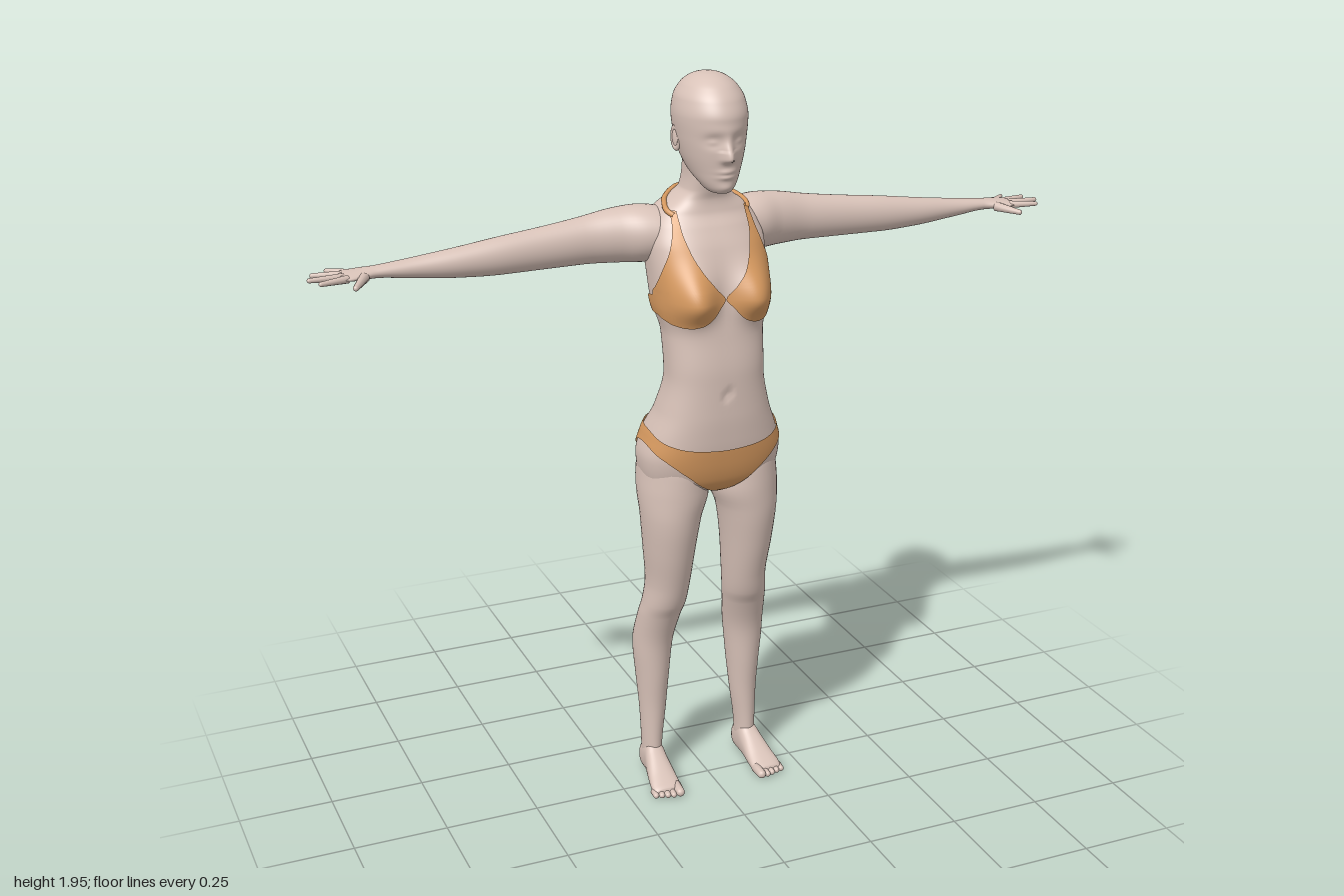
import * as THREE from 'three';
import { mergeGeometries } from 'three/addons/utils/BufferGeometryUtils.js';

const gauss = (d, s) => Math.exp(-(d / s) * (d / s));
const spow = (v, p) => Math.sign(v) * Math.abs(v) ** p;

// Smooth monotone interpolation of table rows [t, a, b, ...]
function sample(rows, t) {
  let i = 0;
  while (i < rows.length - 2 && t > rows[i + 1][0]) i++;
  const h = rows[i + 1][0] - rows[i][0];
  const k = Math.min(1, Math.max(0, (t - rows[i][0]) / h));
  const slope = (j, c) => (rows[j + 1][c] - rows[j][c]) / (rows[j + 1][0] - rows[j][0]);
  const tangent = (j, c) => {
    if (j === 0) return slope(0, c);
    if (j === rows.length - 1) return slope(j - 1, c);
    const a = slope(j - 1, c), b = slope(j, c);
    return a * b > 0 ? (2 * a * b) / (a + b) : 0;
  };
  return rows[i].slice(1).map((v, n) => {
    const c = n + 1, w = rows[i + 1][c], k2 = k * k, k3 = k2 * k;
    return v * (2 * k3 - 3 * k2 + 1) + w * (3 * k2 - 2 * k3)
      + h * (tangent(i, c) * (k3 - 2 * k2 + k) + tangent(i + 1, c) * (k3 - k2));
  });
}

// Grid surface from point(u, v); faces are turned outwards by signed volume
function surface(point, us, vs, closed) {
  const pos = [], idx = [], n = us.length;
  for (const v of vs) for (const u of us) pos.push(...point(u, v).toArray());
  for (let j = 0; j < vs.length - 1; j++) {
    for (let i = 0; i < (closed ? n : n - 1); i++) {
      const a = j * n + i, b = j * n + ((i + 1) % n);
      idx.push(a, b, b + n, a, b + n, a + n);
    }
  }
  const at = (i) => new THREE.Vector3(pos[3 * i], pos[3 * i + 1] - 1.3, pos[3 * i + 2]);
  let volume = 0;
  for (let i = 0; i < idx.length; i += 3) volume += at(idx[i]).dot(at(idx[i + 1]).cross(at(idx[i + 2])));
  if (volume < 0) idx.reverse();
  const geo = new THREE.BufferGeometry();
  geo.setAttribute('position', new THREE.Float32BufferAttribute(pos, 3));
  geo.setIndex(idx);
  geo.computeVertexNormals();
  return geo;
}

const range = (n, a, b) => Array.from({ length: n + 1 }, (_, i) => a + ((b - a) * i) / n);
const ring = (n) => range(n, 0, 2 * Math.PI).slice(0, n);
const steps = (rows, n) => rows.flatMap((r, i) =>
  i ? range(n, rows[i - 1][0], r[0]).slice(1) : [r[0]]);

// Limb through rows [t, a0, a1, b0, b1], extents across the x, y or z axis
function limb(rows, axis, side, power = 1) {
  const point = (u, t) => {
    const [a0, a1, b0, b1] = sample(rows, t);
    const a = (a0 + a1) / 2 + ((a1 - a0) / 2) * spow(Math.sin(u), power);
    const b = (b0 + b1) / 2 + ((b1 - b0) / 2) * spow(Math.cos(u), power);
    const p = axis === 'x' ? [t, a, b] : axis === 'y' ? [a, t, b] : [a, b, t];
    return new THREE.Vector3(p[0] * side, p[1], p[2]);
  };
  return surface(point, ring(40), steps(rows, 5), true);
}

// Tapered round-ended digit between two points
function digit(from, to, r0, r1, side) {
  const a = new THREE.Vector3(...from), b = new THREE.Vector3(...to);
  a.x *= side; b.x *= side;
  const len = a.distanceTo(b) - r1;
  const arc = range(6, 0, Math.PI / 2).map((t) =>
    new THREE.Vector2(Math.max(0, r1 * Math.cos(t)), len + r1 * Math.sin(t)));
  const geo = new THREE.LatheGeometry([new THREE.Vector2(0, 0), new THREE.Vector2(r0, 0.001), ...arc], 12);
  const turn = new THREE.Quaternion().setFromUnitVectors(new THREE.Vector3(0, 1, 0), b.clone().sub(a).normalize());
  return geo.applyQuaternion(turn).translate(a.x, a.y, a.z);
}

// Torso and neck: [y, half width, back z, front z]
const TORSO = [[0.862, 0, -0.01, -0.01], [0.868, 0.05, -0.07, 0.05], [0.89, 0.15, -0.105, 0.088],
  [0.92, 0.184, -0.12, 0.107], [0.97, 0.19, -0.126, 0.12], [1.03, 0.175, -0.12, 0.128],
  [1.1, 0.148, -0.085, 0.132], [1.2, 0.128, -0.057, 0.132], [1.3, 0.13, -0.072, 0.122],
  [1.38, 0.148, -0.102, 0.11], [1.45, 0.152, -0.124, 0.1], [1.52, 0.155, -0.14, 0.08],
  [1.57, 0.143, -0.143, 0.055], [1.605, 0.12, -0.135, 0.035], [1.635, 0.08, -0.115, 0.03],
  [1.66, 0.057, -0.097, 0.036], [1.7, 0.051, -0.09, 0.045], [1.76, 0.05, -0.08, 0.045]];
const POWER = 0.8;

function torsoPoint(u, y) {
  const [w, back, front] = sample(TORSO, y), c = Math.cos(u);
  const x = w * spow(Math.sin(u), POWER), ax = Math.abs(x);
  let z = (front + back) / 2 + ((front - back) / 2) * spow(c, POWER);
  const f = Math.min(1, Math.max(0, c) * 2), b = Math.min(1, Math.max(0, -c) * 2);
  z += f * 0.052 * gauss(ax - 0.085, 0.055) * gauss(y - 1.4, y > 1.4 ? 0.075 : 0.05);
  z -= f * 0.01 * gauss(x, 0.008) * gauss(y - 1.155, 0.012);
  z -= b * 0.032 * gauss(ax - 0.08, 0.055) * gauss(y - 0.95, 0.055);
  z += b * 0.011 * gauss(x, 0.025) * gauss(y - 1.33, 0.2);
  return new THREE.Vector3(x, y, z);
}

// Point lying a little above the skin
function onSkin(u, y, lift) {
  const e = 0.004, p = torsoPoint(u, y);
  const du = torsoPoint(u + e, y).sub(torsoPoint(u - e, y));
  const dy = torsoPoint(u, y + e).sub(torsoPoint(u, y - e));
  return p.addScaledVector(du.cross(dy).normalize(), lift);
}
const angleAt = (x, y) =>
  Math.sign(x) * Math.asin(Math.min(0.999, Math.abs(x) / sample(TORSO, y)[0]) ** (1 / POWER));

// Head: [y, half width, back z, front z]
const HEAD = [[1.664, 0, 0.075, 0.075], [1.669, 0.026, 0.035, 0.108], [1.69, 0.046, 0, 0.117],
  [1.72, 0.063, -0.055, 0.121], [1.76, 0.077, -0.088, 0.126], [1.8, 0.085, -0.105, 0.129],
  [1.85, 0.09, -0.112, 0.13], [1.89, 0.084, -0.104, 0.115], [1.92, 0.067, -0.084, 0.09],
  [1.938, 0.046, -0.058, 0.063], [1.947, 0.025, -0.03, 0.036], [1.951, 0, 0.003, 0.003]];

function headPoint(u, y) {
  const [w, back, front] = sample(HEAD, y), c = Math.cos(u);
  const x = w * Math.sin(u), ax = Math.abs(x), f = Math.min(1, Math.max(0, c) * 2);
  let d = 0.026 * gauss(x, y < 1.775 ? 0.015 : 0.012) * gauss(y - 1.758, y > 1.758 ? 0.034 : 0.01);
  d -= 0.009 * gauss(ax - 0.034, 0.02) * gauss(y - 1.8, 0.015);
  d += 0.005 * gauss(ax - 0.035, 0.013) * gauss(y - 1.798, 0.008);
  d += 0.002 * gauss(x, 0.05) * gauss(y - 1.826, 0.012);
  d += 0.005 * gauss(x, 0.022) * (gauss(y - 1.724, 0.006) + gauss(y - 1.71, 0.006));
  d += 0.004 * gauss(x, 0.022) * gauss(y - 1.682, 0.011);
  return new THREE.Vector3(x, y, (front + back) / 2 + ((front - back) / 2) * c + d * f);
}

const ARM = [[0.06, 1.51, 1.57, -0.11, -0.05], [0.11, 1.478, 1.61, -0.143, 0.015],
  [0.16, 1.47, 1.616, -0.147, 0.006], [0.22, 1.472, 1.611, -0.141, -0.018], [0.31, 1.475, 1.595, -0.132, -0.035],
  [0.42, 1.475, 1.581, -0.121, -0.037], [0.52, 1.475, 1.57, -0.115, -0.036], [0.63, 1.48, 1.555, -0.11, -0.04],
  [0.75, 1.492, 1.54, -0.105, -0.05], [0.83, 1.502, 1.532, -0.1, -0.052], [0.87, 1.503, 1.528, -0.114, -0.04],
  [0.905, 1.506, 1.524, -0.118, -0.032], [0.92, 1.508, 1.521, -0.11, -0.036], [0.926, 1.514, 1.514, -0.075, -0.075]];
const LEG = [[0.03, 0.12, 0.16, -0.1, -0.04], [0.06, 0.114, 0.166, -0.108, -0.03], [0.1, 0.112, 0.167, -0.108, -0.03],
  [0.2, 0.1, 0.171, -0.114, -0.028], [0.3, 0.09, 0.179, -0.127, -0.02], [0.4, 0.08, 0.187, -0.131, -0.012],
  [0.5, 0.065, 0.181, -0.102, 0.018], [0.54, 0.058, 0.175, -0.091, 0.038], [0.6, 0.052, 0.169, -0.086, 0.055],
  [0.7, 0.043, 0.178, -0.086, 0.08], [0.8, 0.028, 0.187, -0.09, 0.097], [0.87, 0.005, 0.191, -0.116, 0.101],
  [0.92, 0.006, 0.188, -0.126, 0.1], [0.96, 0.018, 0.182, -0.115, 0.095], [1, 0.095, 0.095, -0.01, -0.01]];
const FOOT = [[-0.121, 0.14, 0.14, 0.03, 0.03], [-0.114, 0.122, 0.158, 0.006, 0.06], [-0.09, 0.114, 0.167, 0, 0.09],
  [-0.05, 0.112, 0.17, 0, 0.1], [-0.02, 0.111, 0.176, 0, 0.082], [0.03, 0.108, 0.186, 0, 0.05],
  [0.06, 0.108, 0.19, 0, 0.034], [0.078, 0.113, 0.185, 0.003, 0.024], [0.084, 0.145, 0.145, 0.012, 0.012]];
const FINGERS = [[[0.865, 1.513, -0.05], [0.905, 1.507, 0.019], 0.013, 0.007], [[0.905, 1.515, -0.045], [0.98, 1.515, -0.025], 0.01, 0.006],
  [[0.91, 1.515, -0.066], [1, 1.516, -0.064], 0.01, 0.006], [[0.91, 1.515, -0.087], [0.984, 1.515, -0.108], 0.01, 0.006],
  [[0.895, 1.514, -0.105], [0.94, 1.513, -0.147], 0.009, 0.005]];

// Bikini outlines: cup [y, inner x, outer x]; bands [angle from front, low y, high y]
const CUP = [[1.336, 0.085, 0.105], [1.342, 0.062, 0.128], [1.355, 0.042, 0.143], [1.38, 0.02, 0.15],
  [1.4, 0.002, 0.151], [1.43, 0.028, 0.149], [1.47, 0.058, 0.141], [1.52, 0.079, 0.123], [1.57, 0.089, 0.108], [1.61, 0.089, 0.102]];
const BAND = [[0.95, 1.35, 1.43], [1.57, 1.355, 1.402], [2.2, 1.355, 1.382], [Math.PI, 1.352, 1.374]];
const BRIEFS = [[0, 0.87, 1.005], [0.15, 0.885, 1.007], [0.45, 0.935, 1.012], [0.9, 0.983, 1.025], [1.57, 1.013, 1.048],
  [2.2, 0.973, 1.052], [2.7, 0.92, 1.048], [3, 0.885, 1.043], [Math.PI, 0.87, 1.04]];

export function createModel() {
  const model = new THREE.Group();
  const skin = new THREE.MeshStandardMaterial({ color: 0xd8c2b8 });
  skin.name = 'skin';
  const cloth = new THREE.MeshStandardMaterial({ color: 0xd6995f, side: THREE.DoubleSide });
  cloth.name = 'orange cloth';
  const add = (name, geo, material) => {
    const mesh = new THREE.Mesh(geo, material);
    mesh.name = name;
    model.add(mesh);
  };

  add('torso', surface(torsoPoint, ring(96), steps(TORSO, 8), true), skin);
  add('head', surface(headPoint, ring(120), steps(HEAD, 11), true), skin);

  for (const side of [1, -1]) {
    const name = side > 0 ? 'left' : 'right';
    add(name + 'Arm', limb(ARM, 'x', side), skin);
    add(name + 'Fingers', mergeGeometries(FINGERS.map((f) => digit(...f, side))), skin);
    add(name + 'Leg', limb(LEG, 'y', side), skin);
    add(name + 'Foot', limb(FOOT, 'z', side, 0.85), skin);
    const toes = range(4, 0, 4).map((i) => {
      const x = 0.12 + 0.0155 * i + (i ? 0.003 : 0), r = i ? 0.008 : 0.012;
      return digit([x, r + 0.004, 0.06], [x + 0.002, r, 0.107 - 0.0045 * i], r + 0.002, r, side);
    });
    add(name + 'Toes', mergeGeometries(toes), skin);

    // Ear: rim around a shallow bowl
    const rim = new THREE.TorusGeometry(0.017, 0.005, 8, 24).scale(0.8, 1.5, 1);
    const bowl = new THREE.SphereGeometry(0.016, 16, 12).scale(0.8, 1.5, 0.35);
    const ear = mergeGeometries([rim, bowl]).rotateY(side * (Math.PI / 2 - 0.3));
    add(name + 'Ear', ear.rotateX(-0.12).translate(side * 0.084, 1.792, -0.003), skin);

    // Bikini cup and the strap up to the nape
    const cupPoint = (k, y) => {
      const [inner, outer] = sample(CUP, y);
      return onSkin(angleAt(side * (inner + (outer - inner) * k), y), y, 0.004);
    };
    add(name + 'Cup', surface(cupPoint, range(24, 0, 1), steps(CUP, 5), false), cloth);
    const start = angleAt(0.096, 1.6);
    const path = range(14, 0, 1).map((k) =>
      onSkin(side * (start + (Math.PI - start) * k), 1.6 + 0.045 * Math.min(1, k * 1.5), 0.002));
    add(name + 'NeckStrap', new THREE.TubeGeometry(new THREE.CatmullRomCurve3(path), 50, 0.007, 8), cloth);
  }

  // Wrapped cloth, following the torso between a low and a high edge
  const wrap = (rows) => (u, k) => {
    const [low, high] = sample(rows, Math.abs(u > Math.PI ? 2 * Math.PI - u : u));
    return onSkin(u, low + (high - low) * k, 0.004);
  };
  add('backBand', surface(wrap(BAND), range(80, 0.95, 2 * Math.PI - 0.95), range(5, 0, 1), false), cloth);
  add('briefs', surface(wrap(BRIEFS), ring(144), range(24, 0, 1), true), cloth);
  return model;
}
